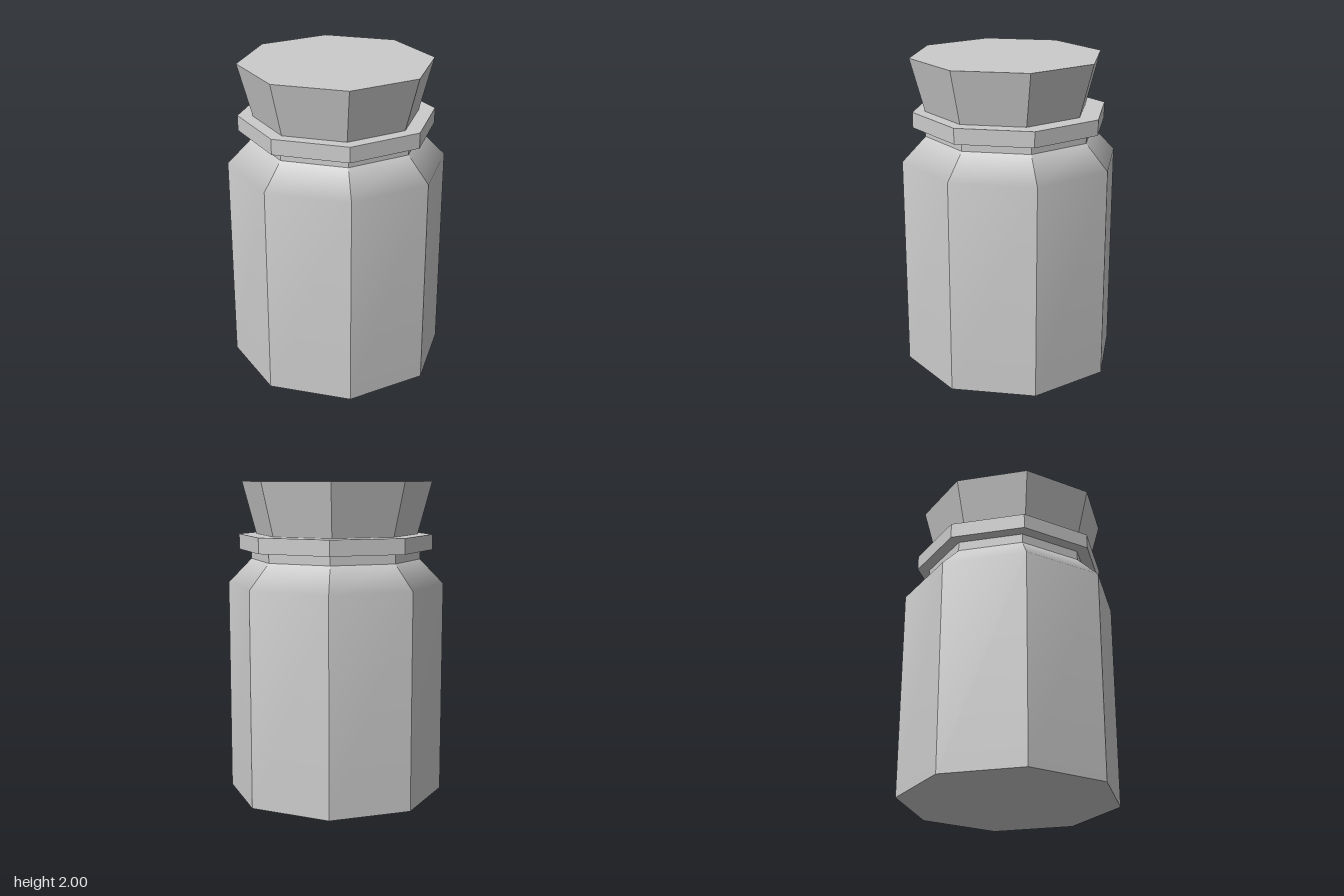
import * as THREE from 'three';
import { mergeGeometries } from 'three/addons/utils/BufferGeometryUtils.js';

const SIDES = 8;
const material = new THREE.MeshStandardMaterial({ color: 0xcccccc });
const flatMaterial = new THREE.MeshStandardMaterial({ color: 0xcccccc, flatShading: true });

// One octagonal ring or plug between two heights
function octagon(name, rBottom, rTop, y0, y1, x = 0, z = 0) {
  const geometry = new THREE.CylinderGeometry(rTop, rBottom, y1 - y0, SIDES);
  const mesh = new THREE.Mesh(geometry, flatMaterial);
  mesh.name = name;
  mesh.position.set(x, (y0 + y1) / 2, z);
  return mesh;
}

// One side of the jar: smooth up the profile, hard against its neighbours
function sidePanel(profile, i) {
  const positions = [], index = [];
  profile.forEach(([r, y], row) => {
    for (const k of [i, i + 1]) {
      const a = (k / SIDES) * Math.PI * 2;
      positions.push(Math.sin(a) * r, y, Math.cos(a) * r);
    }
    if (row > 0) {
      const b = row * 2 - 2;
      index.push(b, b + 1, b + 3, b, b + 3, b + 2);
    }
  });
  const geometry = new THREE.BufferGeometry();
  geometry.setAttribute('position', new THREE.Float32BufferAttribute(positions, 3));
  geometry.setIndex(index);
  geometry.computeVertexNormals();
  return geometry;
}

export function createModel() {
  const group = new THREE.Group();
  group.name = 'jar';

  // Body wall with sloping shoulder
  const profile = [[0.69, 0], [0.69, 1.355], [0.54, 1.51]];
  const panels = Array.from({ length: SIDES }, (_, i) => sidePanel(profile, i));
  const body = new THREE.Mesh(mergeGeometries(panels), material);
  body.name = 'body';
  group.add(body);

  // Flat base
  const base = new THREE.Mesh(new THREE.CircleGeometry(0.69, SIDES), flatMaterial);
  base.name = 'base';
  base.rotation.x = Math.PI / 2;
  group.add(base);

  // Neck, rim and slightly off-centre stopper
  group.add(octagon('neck', 0.54, 0.54, 1.51, 1.57));
  group.add(octagon('rim', 0.618, 0.618, 1.57, 1.667));
  group.add(octagon('stopper', 0.515, 0.606, 1.66, 2, -0.02, 0.01));

  return group;
}
